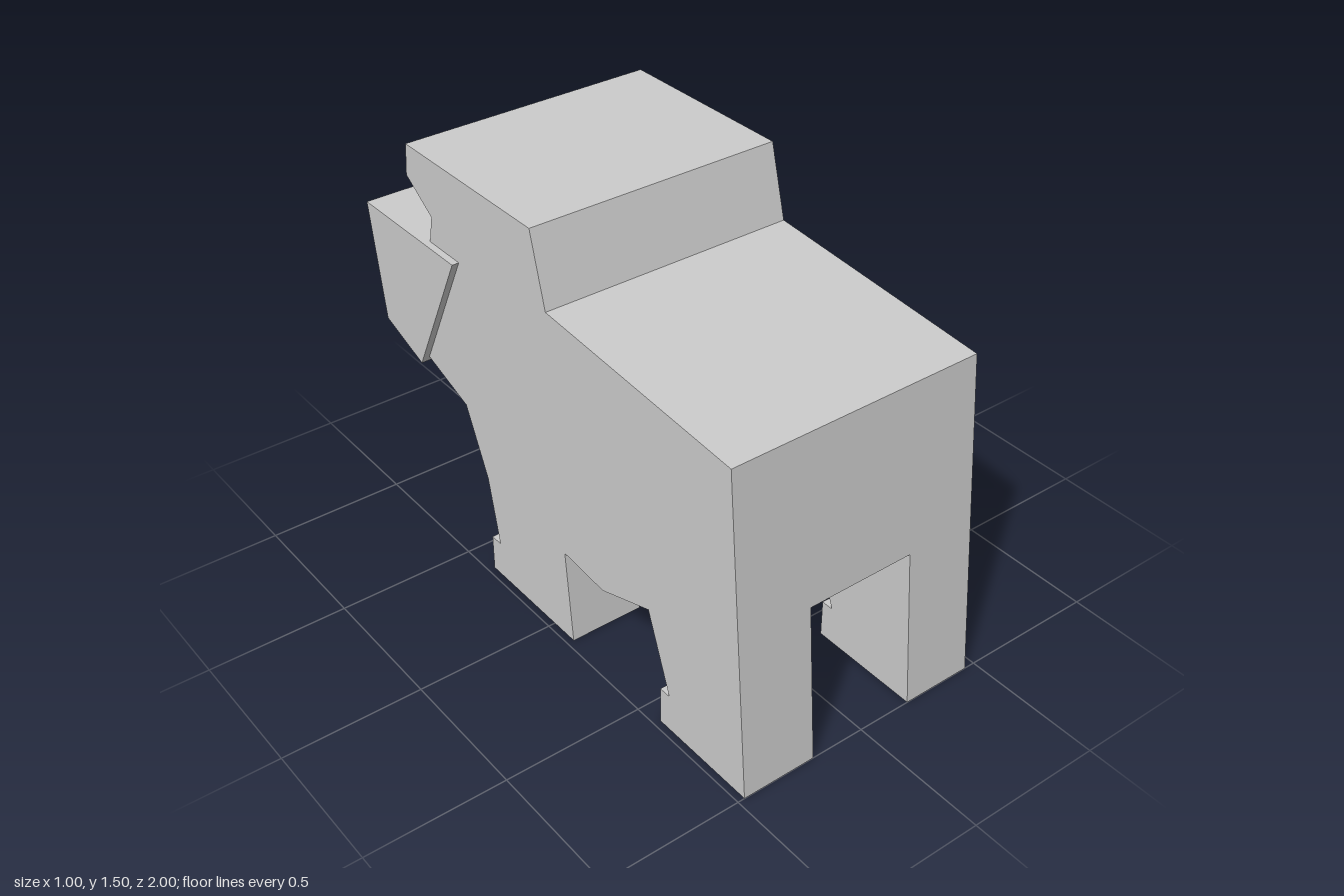
import * as THREE from 'three';

const material = new THREE.MeshStandardMaterial({ color: 0xcccccc, flatShading: true });

// Extrudes a side profile of [z, y] points across the width from x0 to x1
function slab(name, profile, x0, x1) {
  const shape = new THREE.Shape(profile.map(([z, y]) => new THREE.Vector2(-z, y)));
  const geometry = new THREE.ExtrudeGeometry(shape, { depth: x1 - x0, bevelEnabled: false });
  geometry.rotateY(Math.PI / 2).translate(x0, 0, 0);
  const mesh = new THREE.Mesh(geometry, material);
  mesh.name = name;
  return mesh;
}

export function createModel() {
  const model = new THREE.Group();
  model.name = 'blockyAnimal';
  const right = -0.475, left = 0.46, gap = 0.2;

  // Torso and head in one silhouette, with the belly as its underside
  model.add(slab('torsoAndHead', [
    [0.951, 0.575], [0.9, 1.173], [0.025, 1.24], [-0.043, 1.495],
    [-0.743, 1.495], [-0.755, 1.38], [-0.615, 1.285], [-0.64, 1.17],
    [-0.72, 1.0], [-0.72, 0.712], [-0.483, 0.63], [-0.373, 0.388],
    [0.077, 0.352], [0.285, 0.335], [0.525, 0.42],
  ], right, left));

  // Wide jaw, standing slightly proud of the head on both sides
  model.add(slab('jaw', [
    [-0.463, 1.187], [-1, 1.187], [-0.932, 0.762], [-0.718, 0.686],
  ], -0.5, 0.5));

  // Legs with small toe steps, flush with the torso sides
  const rearLeg = [
    [0.951, 0.575], [0.525, 0.42], [0.63, 0.138], [0.585, 0.138], [0.585, 0], [1, 0],
  ];
  const frontLeg = [
    [0.077, 0.352], [-0.373, 0.388], [-0.32, 0.138], [-0.37, 0.138], [-0.37, 0], [0.11, 0],
  ];
  for (const [side, x0, x1] of [['Right', right, -gap], ['Left', gap, left]]) {
    model.add(slab('rearLeg' + side, rearLeg, x0, x1));
    model.add(slab('frontLeg' + side, frontLeg, x0, x1));
  }
  return model;
}
